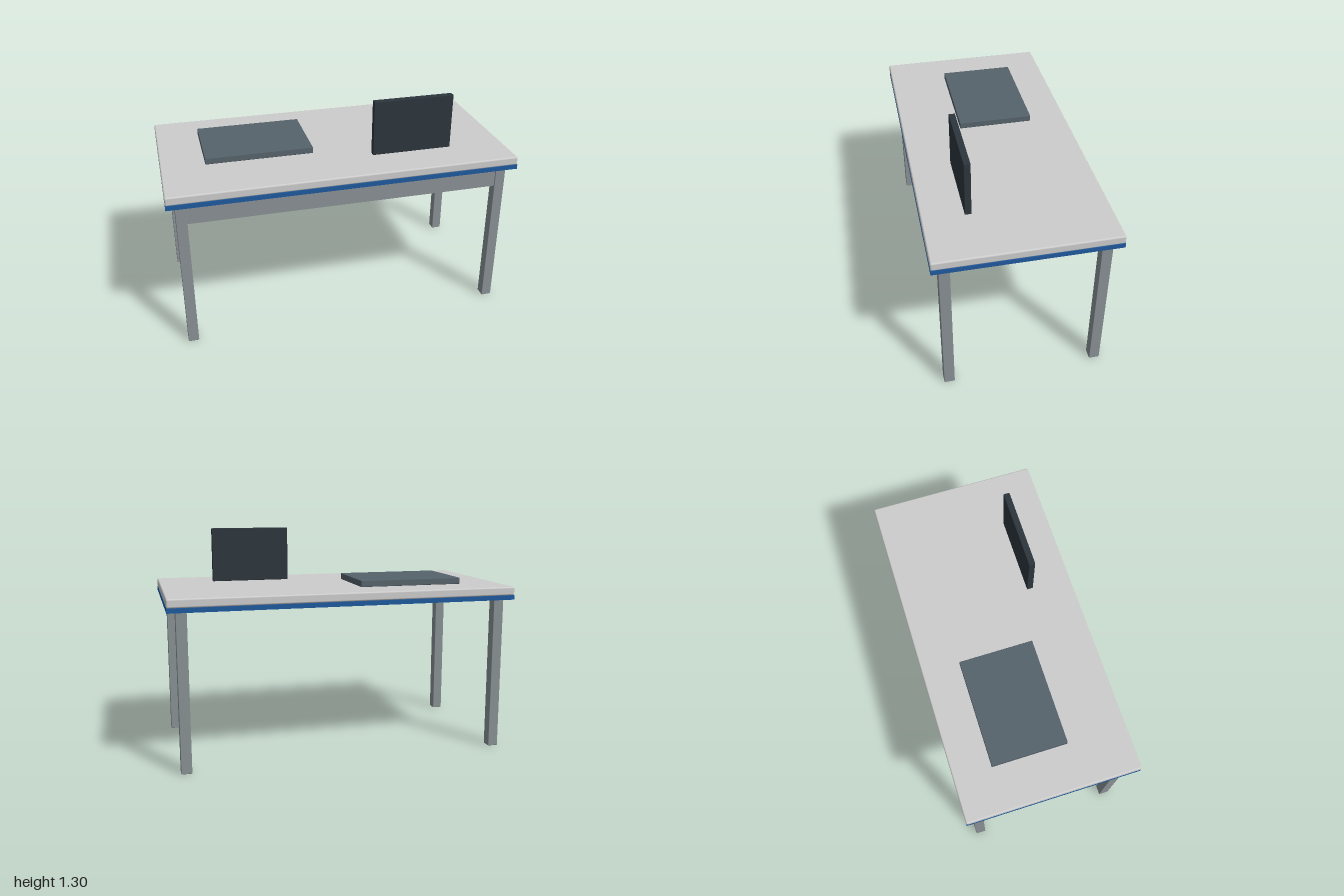
import * as THREE from 'three';
import { RoundedBoxGeometry } from 'three/addons/geometries/RoundedBoxGeometry.js';

const material = (name, color) => {
  const m = new THREE.MeshStandardMaterial({ color });
  m.name = name;
  return m;
};

export function createModel() {
  const desk = new THREE.Group();
  desk.name = 'desk';

  const paleGrey = material('pale grey', 0xcdcdcd);
  const blue = material('blue', 0x1f5a9e);
  const metalGrey = material('metal grey', 0x899194);
  const slate = material('slate', 0x56636c);
  const charcoal = material('charcoal', 0x2d363d);

  // Box given by its x, y and z ranges, with optional softened edges
  function box(name, mat, [x0, x1], [y0, y1], [z0, z1], radius = 0) {
    const w = x1 - x0, h = y1 - y0, d = z1 - z0;
    const geometry = radius
      ? new RoundedBoxGeometry(w, h, d, 2, radius)
      : new THREE.BoxGeometry(w, h, d);
    const mesh = new THREE.Mesh(geometry, mat);
    mesh.name = name;
    mesh.position.set((x0 + x1) / 2, (y0 + y1) / 2, (z0 + z1) / 2);
    desk.add(mesh);
  }

  // Worktop on a blue under-panel
  box('worktop', paleGrey, [-1, 1], [0.928, 0.977], [-0.5, 0.5], 0.009);
  box('underPanel', blue, [-1, 1], [0.902, 0.928], [-0.5, 0.5]);

  // Four legs
  for (const [side, sx] of [['Left', 1], ['Right', -1]]) {
    for (const [end, sz] of [['front', 1], ['back', -1]]) {
      const x = sx * 0.922, z = sz * 0.427;
      box(`${end}${side}Leg`, metalGrey,
        [x - 0.03, x + 0.03], [0, 0.902], [z - 0.03, z + 0.03], 0.003);
    }
  }

  // Apron between the front legs
  box('frontApron', metalGrey, [-0.892, 0.892], [0.78, 0.902], [0.41, 0.45]);

  // Flat pad and upright screen on the worktop
  box('deskPad', slate, [-0.75, -0.128], [0.977, 1.015], [-0.28, 0.155], 0.003);
  box('screen', charcoal, [0.2, 0.672], [0.977, 1.302], [0.234, 0.27], 0.003);

  return desk;
}
